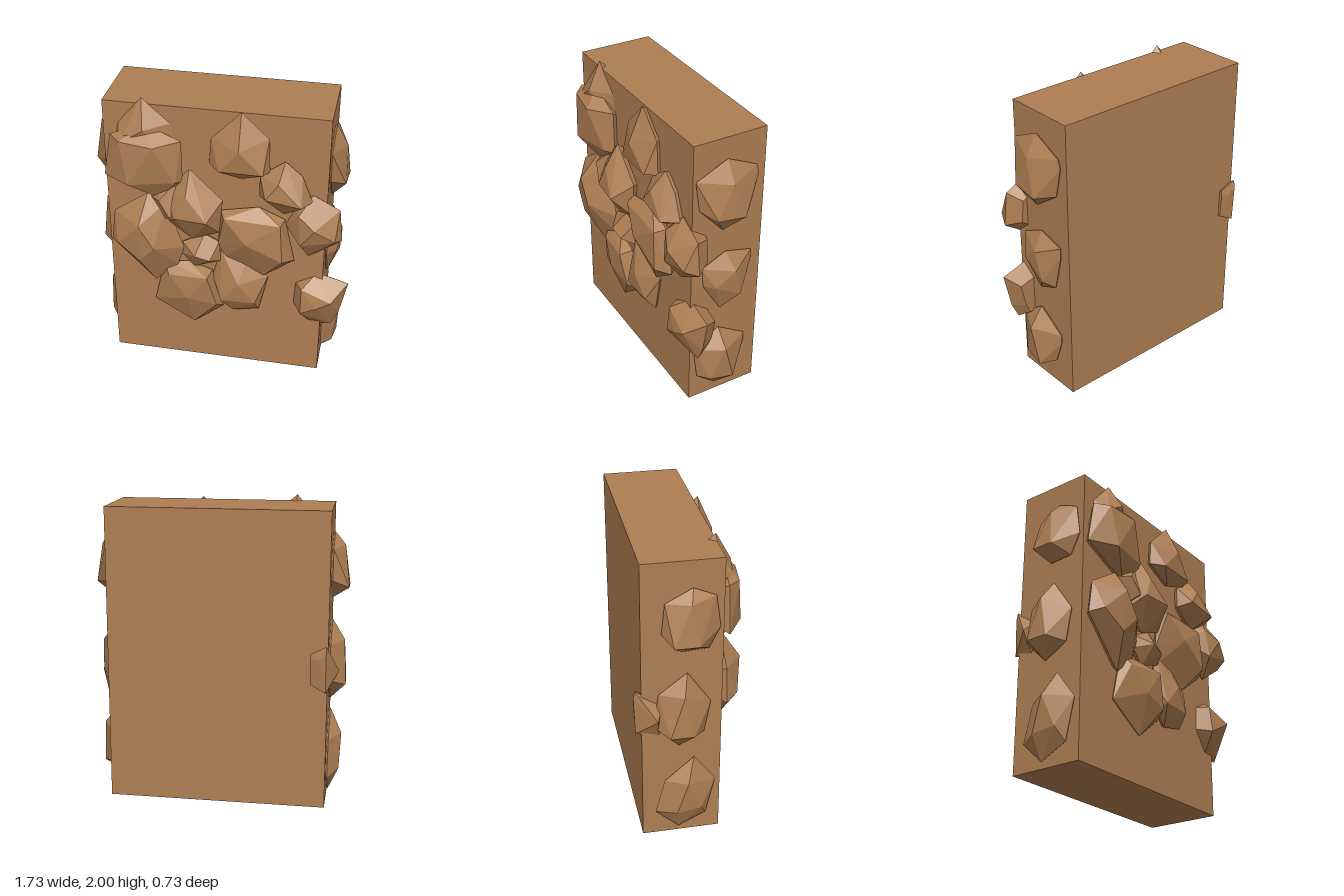
import * as THREE from 'three';
import { ConvexGeometry } from 'three/addons/geometries/ConvexGeometry.js';

export function createModel() {
  const group = new THREE.Group();
  const clay = new THREE.MeshStandardMaterial({ color: 0xae7e52, flatShading: true });
  clay.name = 'brown rock';

  // maps (u, v) on a face of the slab and w outwards from it to model space
  const toFront = (u, v, w) => new THREE.Vector3(u, v, w);
  const toLeft = (u, v, w) => new THREE.Vector3(w, v, u);
  const toRight = (u, v, w) => new THREE.Vector3(-w, v, u);

  // faceted rock: widest ring, a smaller ring buried behind it, and raised peaks
  function rock(name, map, rim, ring, peaks) {
    const cu = ring.reduce((s, p) => s + p[0], 0) / ring.length;
    const cv = ring.reduce((s, p) => s + p[1], 0) / ring.length;
    const points = [];
    for (const [u, v] of ring) {
      points.push(map(u, v, rim));
      points.push(map(cu + (u - cu) * 0.65, cv + (v - cv) * 0.65, rim - 0.1));
    }
    for (const p of peaks) points.push(map(...p));
    const mesh = new THREE.Mesh(new ConvexGeometry(points), clay);
    mesh.name = name;
    group.add(mesh);
  }

  // slab
  const slab = new THREE.Mesh(new THREE.BoxGeometry(1.44, 1.96, 0.505), clay);
  slab.name = 'slab';
  slab.position.set(-0.03, 0.98, -0.0605);
  group.add(slab);

  // front rocks, top row
  rock('topCornerRockBack', toFront, 0.19,
    [[-0.495, 2.0], [-0.65, 1.82], [-0.7, 1.6], [-0.45, 1.5], [-0.28, 1.65], [-0.31, 1.84]],
    [[-0.47, 1.82, 0.29], [-0.62, 1.72, 0.29]]);
  rock('topCornerRock', toFront, 0.23,
    [[-0.47, 1.84], [-0.7, 1.75], [-0.75, 1.45], [-0.66, 1.43], [-0.39, 1.31], [-0.235, 1.45], [-0.24, 1.74]],
    [[-0.4, 1.73, 0.34], [-0.57, 1.45, 0.34], [-0.62, 1.74, 0.31], [-0.27, 1.47, 0.29]]);
  rock('topMiddleRock', toFront, 0.22,
    [[0.14, 1.975], [-0.05, 1.78], [-0.065, 1.6], [0.14, 1.51], [0.325, 1.58], [0.315, 1.81]],
    [[0.14, 1.75, 0.32], [0.01, 1.59, 0.3], [0.29, 1.59, 0.3]]);
  rock('upperRightRock', toFront, 0.22,
    [[0.42, 1.665], [0.26, 1.55], [0.26, 1.4], [0.42, 1.28], [0.6, 1.39], [0.53, 1.57]],
    [[0.39, 1.54, 0.31], [0.31, 1.43, 0.32], [0.54, 1.4, 0.33]]);

  // front rocks, middle row
  rock('middleEdgeRock', toFront, 0.2,
    [[0.6, 1.43], [0.5, 1.34], [0.43, 1.19], [0.59, 0.965], [0.8, 1.11], [0.775, 1.34]],
    [[0.63, 1.24, 0.33], [0.52, 1.31, 0.28], [0.76, 1.15, 0.29], [0.54, 1.1, 0.3]]);
  rock('centreRock', toFront, 0.22,
    [[0.26, 1.315], [0.01, 1.26], [-0.01, 0.99], [0.04, 0.9], [0.3, 0.78], [0.5, 0.93], [0.43, 1.24]],
    [[0.19, 1.08, 0.33], [0.04, 1.24, 0.29], [0.41, 1.23, 0.3], [0.43, 0.96, 0.31]]);
  rock('upperLeftRock', toFront, 0.23,
    [[-0.19, 1.55], [-0.36, 1.35], [-0.34, 1.14], [-0.18, 1.02], [0.0, 1.09], [0.025, 1.34]],
    [[-0.2, 1.39, 0.32], [-0.27, 1.23, 0.34], [-0.06, 1.23, 0.36]]);
  rock('upperLeftRockBack', toFront, 0.23,
    [[-0.26, 1.465], [-0.39, 1.38], [-0.45, 1.32], [-0.37, 1.15], [-0.2, 1.25]],
    [[-0.38, 1.33, 0.3], [-0.31, 1.22, 0.32]]);
  rock('middleLeftRock', toFront, 0.23,
    [[-0.47, 1.34], [-0.7, 1.18], [-0.73, 0.95], [-0.44, 0.65], [-0.28, 0.8], [-0.235, 0.94], [-0.35, 1.28]],
    [[-0.51, 1.15, 0.36], [-0.41, 0.99, 0.365], [-0.67, 0.98, 0.31], [-0.52, 0.87, 0.34]]);
  rock('smallRock', toFront, 0.22,
    [[-0.1, 1.06], [-0.25, 0.98], [-0.26, 0.89], [-0.17, 0.79], [0.01, 0.86], [0.0, 1.01]],
    [[-0.15, 0.93, 0.31], [-0.05, 0.9, 0.3]]);

  // front rocks, bottom row
  rock('lowerLeftRock', toFront, 0.21,
    [[-0.21, 0.82], [-0.38, 0.8], [-0.455, 0.47], [-0.18, 0.31], [0.025, 0.48], [-0.05, 0.77]],
    [[-0.21, 0.57, 0.3], [-0.34, 0.73, 0.27], [-0.07, 0.75, 0.3], [-0.01, 0.53, 0.28]]);
  rock('lowerMiddleRock', toFront, 0.21,
    [[0.01, 0.94], [-0.05, 0.73], [0.0, 0.55], [0.09, 0.45], [0.27, 0.49], [0.33, 0.77], [0.18, 0.89]],
    [[0.14, 0.73, 0.3], [0.02, 0.58, 0.29], [0.25, 0.58, 0.28]]);
  rock('lowerEdgeRock', toFront, 0.17,
    [[0.65, 0.815], [0.5, 0.73], [0.49, 0.57], [0.62, 0.4], [0.76, 0.4], [0.81, 0.51], [0.86, 0.755]],
    [[0.67, 0.61, 0.3], [0.56, 0.73, 0.27], [0.56, 0.55, 0.29], [0.76, 0.66, 0.29]]);

  // rocks on the left side (+x)
  rock('leftTopRock', toLeft, 0.7,
    [[-0.04, 1.82], [0.18, 1.72], [0.15, 1.51], [-0.02, 1.32], [-0.22, 1.46], [-0.265, 1.66], [-0.25, 1.72]],
    [[-0.04, 1.68, 0.78], [0.07, 1.46, 0.79], [-0.12, 1.44, 0.8]]);
  rock('leftMiddleRock', toLeft, 0.7,
    [[-0.05, 1.15], [0.12, 1.07], [0.11, 0.93], [-0.02, 0.71], [-0.18, 0.78], [-0.24, 1.03], [-0.24, 1.1]],
    [[-0.08, 1.03, 0.78], [0.05, 0.93, 0.76], [-0.13, 0.83, 0.77]]);
  rock('leftBottomRock', toLeft, 0.7,
    [[-0.015, 0.55], [0.17, 0.42], [0.14, 0.185], [0, 0.07], [-0.16, 0.185], [-0.22, 0.36], [-0.22, 0.42]],
    [[-0.02, 0.42, 0.8], [0.07, 0.18, 0.77], [-0.09, 0.16, 0.79]]);

  // rocks on the right side (-x)
  rock('rightTopRock', toRight, 0.76,
    [[0.0, 1.79], [-0.17, 1.7], [-0.19, 1.5], [-0.06, 1.37], [0.1, 1.38], [0.17, 1.52], [0.14, 1.73]],
    [[-0.02, 1.71, 0.83], [-0.13, 1.45, 0.865], [0.02, 1.45, 0.865]]);
  rock('rightMiddleRock', toRight, 0.76,
    [[-0.03, 1.22], [-0.21, 1.08], [-0.24, 0.85], [-0.08, 0.69], [0.08, 0.78], [0.12, 1.0]],
    [[-0.06, 1.09, 0.845], [-0.15, 0.81, 0.86], [0.0, 0.81, 0.86]]);
  rock('rightCornerRock', toRight, 0.74,
    [[-0.35, 1.11], [-0.36, 1.06], [-0.35, 0.8], [-0.2, 0.76], [-0.18, 1.0]],
    [[-0.355, 1.02, 0.69], [-0.22, 0.92, 0.82]]);
  rock('rightBottomRock', toRight, 0.76,
    [[0.02, 0.59], [-0.17, 0.42], [-0.23, 0.18], [-0.08, 0.04], [0.1, 0.13], [0.16, 0.4]],
    [[-0.03, 0.43, 0.84], [-0.1, 0.2, 0.83], [0.06, 0.22, 0.82]]);

  return group;
}
